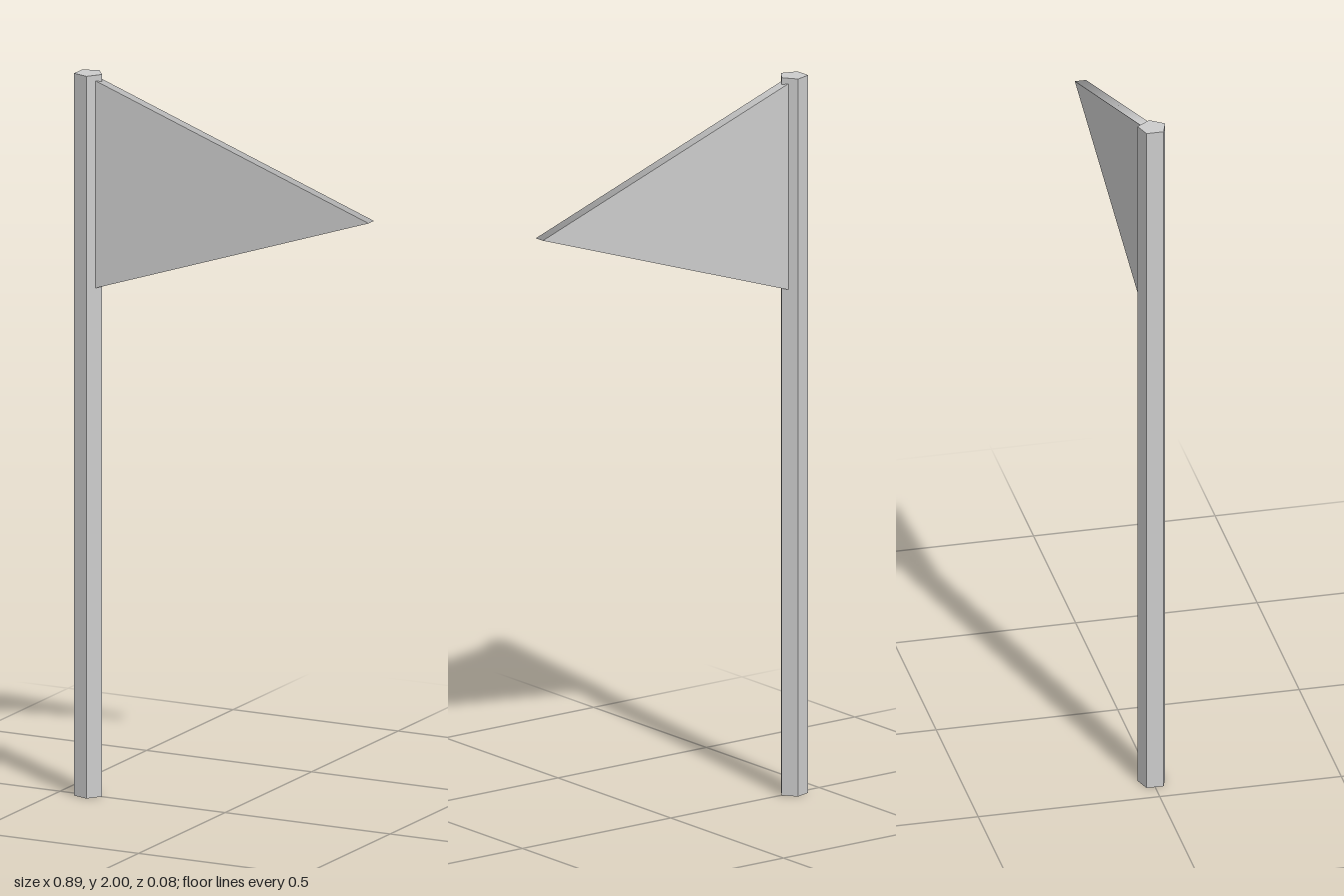
import * as THREE from 'three';

export function createModel() {
  const group = new THREE.Group();

  // Five-sided pole with one corner pointing towards the flag
  const poleGeometry = new THREE.CylinderGeometry(0.04, 0.04, 2, 5, 1, false, Math.PI / 2);
  const pole = new THREE.Mesh(
    poleGeometry,
    new THREE.MeshStandardMaterial({ color: 0xcccccc, flatShading: true })
  );
  pole.name = 'pole';
  pole.position.set(-0.413, 1, 0);
  group.add(pole);

  // Pennant: a three-sided prism stretched sideways, with softly shaded rim
  const left = -0.386, tip = 0.443, top = 1.985, bottom = 1.41;
  const radius = (tip - left) / 1.5;
  const flagGeometry = new THREE.CylinderGeometry(1, 1, 0.031, 3, 1, false, Math.PI / 2);
  flagGeometry.rotateX(Math.PI / 2);
  flagGeometry.scale(radius, (top - bottom) / Math.sqrt(3), 1);
  // The tip hangs slightly below the middle
  const p = flagGeometry.attributes.position;
  for (let i = 0; i < p.count; i++) {
    if (p.getX(i) > radius * 0.9) p.setY(i, p.getY(i) - 0.01);
  }
  const flag = new THREE.Mesh(flagGeometry, new THREE.MeshStandardMaterial({ color: 0xcccccc }));
  flag.name = 'flag';
  flag.position.set(tip - radius, (top + bottom) / 2, 0);
  group.add(flag);

  return group;
}
